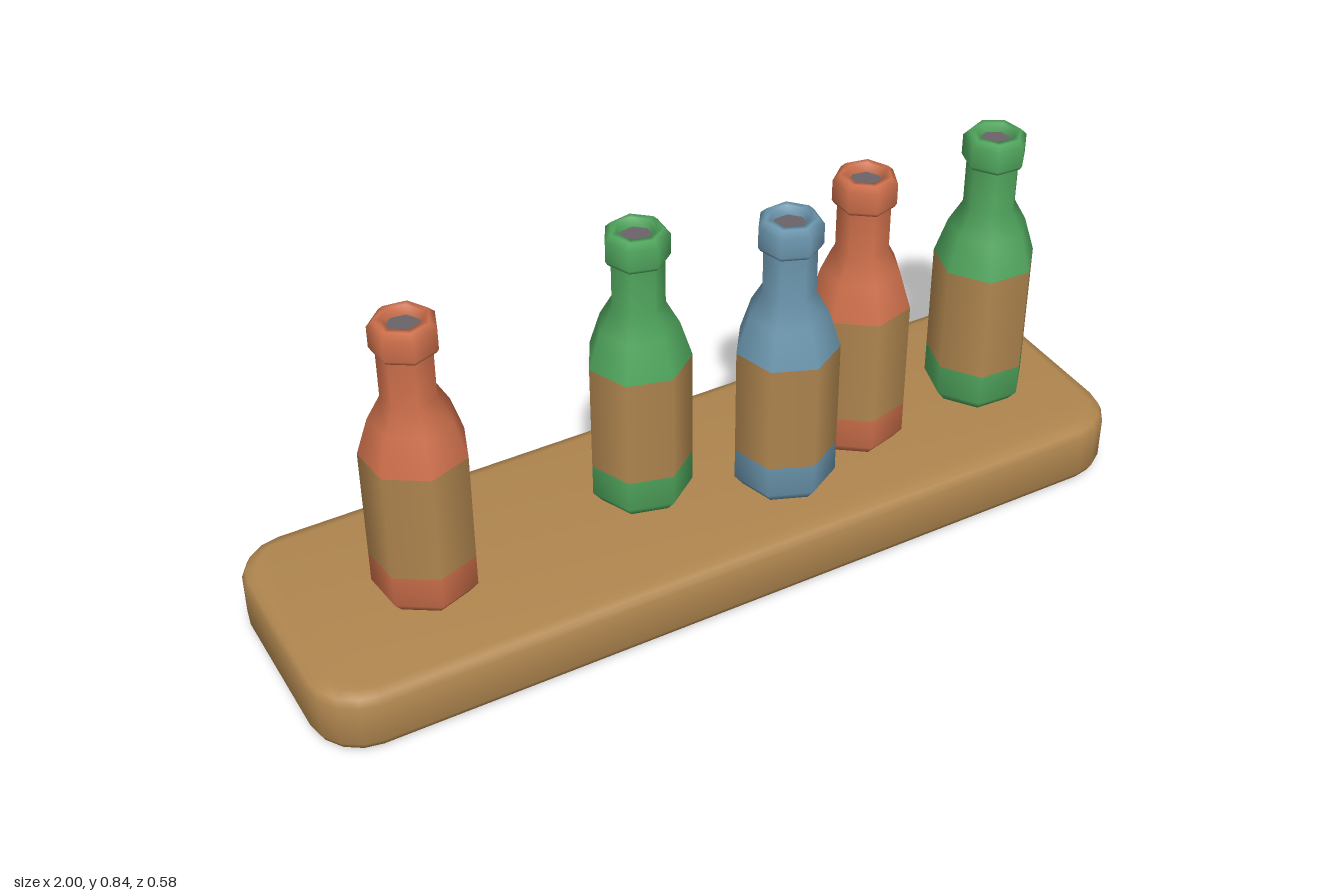
import * as THREE from 'three';
import { toCreasedNormals } from 'three/addons/utils/BufferGeometryUtils.js';

const material = (name, color) => {
  const m = new THREE.MeshStandardMaterial({ color });
  m.name = name;
  return m;
};

const SIDES = 7;
const R = 0.117;
const BOARD_TOP = 0.15;

// Bottle sections as [radius, height above the board]
const profiles = {
  base: [[0, 0], [0.097, 0], [R, 0.026], [R, 0.102]],
  label: [[R, 0.102], [R, 0.366]],
  shoulderAndNeck: [[R, 0.366], [0.09, 0.452], [0.06, 0.507], [0.06, 0.625]],
  lip: [[0.058, 0.619], [0.067, 0.619], [0.072, 0.628], [0.072, 0.676],
    [0.058, 0.69], [0.044, 0.69], [0.038, 0.668]],
  opening: [[0.039, 0.67], [0, 0.67]],
};

export function createModel() {
  const model = new THREE.Group();
  model.name = 'bottlesOnBoard';

  const wood = material('wood brown', 0xb0864f);
  const dark = material('opening grey', 0x6a6468);
  const red = material('red glass', 0xcb6e4a);
  const green = material('green glass', 0x4fa45c);
  const blue = material('blue glass', 0x6b95ad);

  // Board: rounded rectangle with softened rims
  const bevel = 0.03, w = 1 - bevel, d = 0.29 - bevel, r = 0.09;
  const outline = new THREE.Shape();
  outline.moveTo(w, -d + r);
  outline.absarc(w - r, d - r, r, 0, Math.PI / 2);
  outline.absarc(-w + r, d - r, r, Math.PI / 2, Math.PI);
  outline.absarc(-w + r, -d + r, r, Math.PI, Math.PI * 1.5);
  outline.absarc(w - r, -d + r, r, Math.PI * 1.5, Math.PI * 2);
  const boardGeometry = new THREE.ExtrudeGeometry(outline, {
    depth: BOARD_TOP - 0.05, curveSegments: 2,
    bevelSize: bevel, bevelThickness: 0.025, bevelSegments: 2,
  });
  boardGeometry.translate(0, 0, 0.025).rotateX(-Math.PI / 2);
  const board = new THREE.Mesh(toCreasedNormals(boardGeometry, 0.95), wood);
  board.name = 'board';
  model.add(board);

  // Shared seven-sided bottle sections
  const sections = Object.entries(profiles).map(([name, points]) => [
    name,
    new THREE.LatheGeometry(points.map(([x, y]) => new THREE.Vector2(x, y)), SIDES),
  ]);

  const addBottle = (name, glass, x, z, turn) => {
    const bottle = new THREE.Group();
    bottle.name = name;
    for (const [part, geometry] of sections) {
      const paint = part === 'label' ? wood : part === 'opening' ? dark : glass;
      const mesh = new THREE.Mesh(geometry, paint);
      mesh.name = part;
      bottle.add(mesh);
    }
    bottle.position.set(x, BOARD_TOP, z);
    bottle.rotation.y = Math.PI - THREE.MathUtils.degToRad(turn);
    model.add(bottle);
  };

  // Bottles, scattered along the board
  addBottle('redBottleRight', red, -0.66, 0.023, -19);
  addBottle('greenBottleMiddle', green, -0.112, -0.035, 15);
  addBottle('blueBottle', blue, 0.19, 0.082, 22);
  addBottle('redBottleLeft', red, 0.42, 0.015, -15);
  addBottle('greenBottleLeft', green, 0.764, 0.011, 3);

  return model;
}
